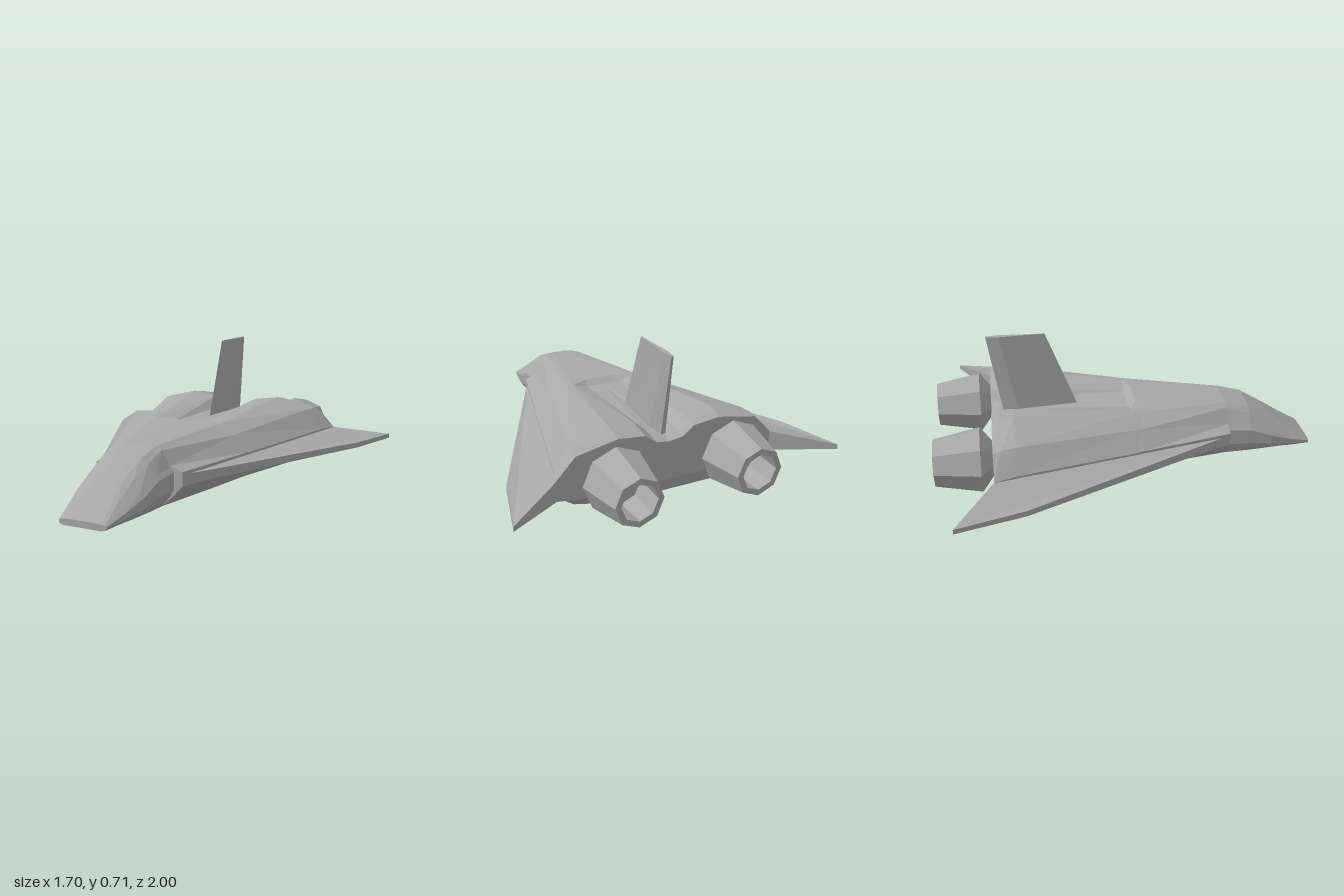
import * as THREE from 'three';

// Skins a list of closed loops (each a list of [x, y, z]) and caps both ends.
function loft(loops) {
  const tris = [];
  const n = loops[0].length;
  for (let i = 0; i < loops.length - 1; i++) {
    for (let j = 0; j < n; j++) {
      const k = (j + 1) % n;
      const a = loops[i][j], b = loops[i][k], c = loops[i + 1][k], d = loops[i + 1][j];
      // Mirrored halves use mirrored diagonals
      if (j < n / 2) tris.push([a, b, c], [a, c, d]);
      else tris.push([a, b, d], [b, c, d]);
    }
  }
  const cap = (loop, flip) => {
    const mid = [0, 1, 2].map((q) => loop.reduce((s, p) => s + p[q], 0) / n);
    loop.forEach((p, j) => {
      const q = loop[(j + 1) % n];
      tris.push(flip ? [mid, q, p] : [mid, p, q]);
    });
  };
  cap(loops[0], true);
  cap(loops[loops.length - 1], false);
  // Turn every face outward
  const v = tris.map((t) => t.map((p) => new THREE.Vector3(...p)));
  const volume = v.reduce((s, [a, b, c]) => s + a.dot(b.clone().cross(c)), 0);
  if (volume < 0) v.forEach((t) => t.reverse());
  const geo = new THREE.BufferGeometry().setFromPoints(v.flat());
  geo.computeVertexNormals();
  return geo;
}

// Full hull section from its right half, listed from top centre to bottom centre.
function section(z, half) {
  const side = half.map(([x, y]) => [x, y, z]);
  const other = side.slice(1, -1).reverse().map(([x, y]) => [-x, y, z]);
  return [...side, ...other];
}

export function createModel() {
  const model = new THREE.Group();
  model.name = 'spaceplane';
  const grey = new THREE.MeshStandardMaterial({ color: 0xa8a8a8, flatShading: true });
  grey.name = 'hull grey';
  const add = (name, geo) => {
    const mesh = new THREE.Mesh(geo, grey);
    mesh.name = name;
    model.add(mesh);
    return mesh;
  };

  // Main body: spine, step down to the rear deck, twin engine humps
  add('body', loft([
    section(0.52, [[0, 0.303], [0.05, 0.303], [0.1, 0.298], [0.13, 0.28], [0.18, 0.21],
      [0.24, 0.185], [0.24, 0.115], [0.19, 0.06], [0.13, 0.005], [0, 0]]),
    section(0.04, [[0, 0.335], [0.08, 0.335], [0.17, 0.334], [0.2, 0.328], [0.29, 0.28],
      [0.37, 0.2], [0.37, 0.115], [0.31, 0.055], [0.2, 0], [0, 0]]),
    section(0, [[0, 0.31], [0.09, 0.31], [0.172, 0.334], [0.205, 0.333], [0.3, 0.285],
      [0.382, 0.2], [0.382, 0.115], [0.32, 0.055], [0.205, 0], [0, 0]]),
    section(-0.6, [[0, 0.305], [0.07, 0.315], [0.13, 0.365], [0.27, 0.385], [0.46, 0.332],
      [0.545, 0.225], [0.545, 0.115], [0.46, 0.055], [0.27, 0], [0, 0]]),
    section(-0.67, [[0, 0.3], [0.07, 0.31], [0.13, 0.355], [0.27, 0.373], [0.475, 0.33],
      [0.565, 0.222], [0.565, 0.115], [0.475, 0.055], [0.27, 0.01], [0, 0.01]]),
    section(-0.71, [[0, 0.29], [0.07, 0.3], [0.13, 0.345], [0.27, 0.36], [0.48, 0.32],
      [0.575, 0.22], [0.575, 0.115], [0.47, 0.1], [0.27, 0.09], [0, 0.09]]),
  ]));

  // Nose, tapering to a thin blunt edge
  add('nose', loft([
    section(0.52, [[0, 0.303], [0.05, 0.303], [0.1, 0.298], [0.13, 0.28], [0.18, 0.2],
      [0.195, 0.18], [0.195, 0.095], [0.175, 0.06], [0.13, 0.005], [0, 0]]),
    section(0.65, [[0, 0.27], [0.05, 0.27], [0.095, 0.265], [0.13, 0.24], [0.172, 0.185],
      [0.188, 0.165], [0.188, 0.085], [0.17, 0.05], [0.125, 0.005], [0, 0.005]]),
    section(0.77, [[0, 0.2], [0.04, 0.2], [0.08, 0.196], [0.115, 0.18], [0.16, 0.14],
      [0.18, 0.115], [0.18, 0.065], [0.165, 0.04], [0.12, 0.008], [0, 0.008]]),
    section(0.89, [[0, 0.117], [0.05, 0.117], [0.085, 0.115], [0.11, 0.107], [0.137, 0.085],
      [0.153, 0.07], [0.153, 0.045], [0.14, 0.026], [0.11, 0.01], [0, 0.01]]),
    section(1, [[0, 0.045], [0.05, 0.045], [0.085, 0.044], [0.105, 0.043], [0.118, 0.04],
      [0.125, 0.035], [0.125, 0.025], [0.118, 0.018], [0.1, 0.013], [0, 0.013]]),
  ]));

  // Fin: wedge section, thick towards the rear
  const finLoop = (y, front, thickest, rear, w) => [
    [0, y, front], [w, y, thickest], [w * 0.4, y, rear], [-w * 0.4, y, rear], [-w, y, thickest],
  ];
  add('fin', loft([
    finLoop(0.28, -0.25, -0.56, -0.645, 0.03),
    finLoop(0.715, -0.415, -0.65, -0.712, 0.014),
  ]));

  for (const [side, s] of [['left', 1], ['right', -1]]) {
    // Swept wing with a raked tip
    add(side + 'Wing', loft([
      [[0.23, 0.17, 0.52], [0.565, 0.22, -0.705], [0.565, 0.115, -0.705], [0.23, 0.12, 0.52]],
      [[0.76, 0.172, -0.57], [0.85, 0.17, -0.9], [0.85, 0.146, -0.9], [0.76, 0.144, -0.57]],
    ].map((loop) => loop.map(([x, y, z]) => [s * x, y, z]))));

    // Eight-sided engine with a hollow nozzle
    const profile = [[0.085, 0.68], [0.085, 0.71], [0.165, 0.77], [0.12, 1], [0.09, 1], [0.1, 0.82], [0, 0.82]]
      .map(([r, d]) => new THREE.Vector2(r, d));
    const engine = add(side + 'Engine', new THREE.LatheGeometry(profile, 8).rotateX(-Math.PI / 2));
    engine.position.set(s * 0.31, 0.194, 0);
  }
  return model;
}
